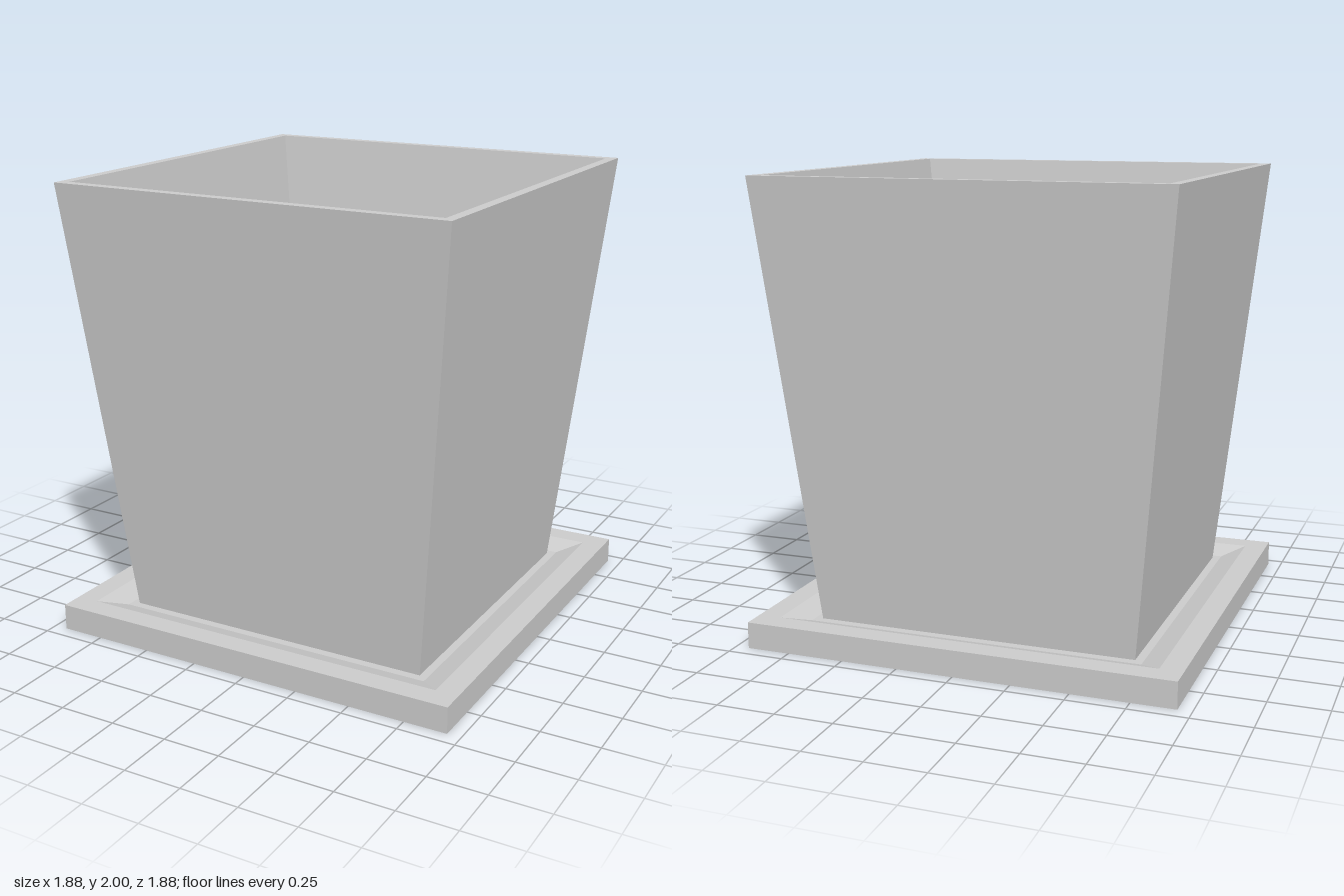
import * as THREE from 'three';

// Square ring solid: profile points are [half width, height], outer side going up
function squareLathe(profile, material, name) {
  const points = profile.map(([h, y]) => new THREE.Vector2(h * Math.SQRT2, y));
  const geometry = new THREE.LatheGeometry(points, 4, Math.PI / 4).toNonIndexed();
  geometry.computeVertexNormals(); // crisp flat faces
  const mesh = new THREE.Mesh(geometry, material);
  mesh.name = name;
  return mesh;
}

export function createModel() {
  const group = new THREE.Group();
  group.name = 'squarePlanter';
  const grey = new THREE.MeshStandardMaterial({ color: 0xcccccc });
  grey.name = 'light grey';

  // Saucer with a shallow, sloped recess
  group.add(squareLathe([
    [0, 0], [0.94, 0], [0.94, 0.115], [0.84, 0.115], [0.74, 0.08], [0, 0.08],
  ], grey, 'saucer'));

  // Tapered pot, walls thickening toward the floor
  group.add(squareLathe([
    [0, 0.081], [0.705, 0.081], [0.895, 2], [0.85, 2], [0.555, 0.15], [0, 0.15],
  ], grey, 'pot'));

  return group;
}
